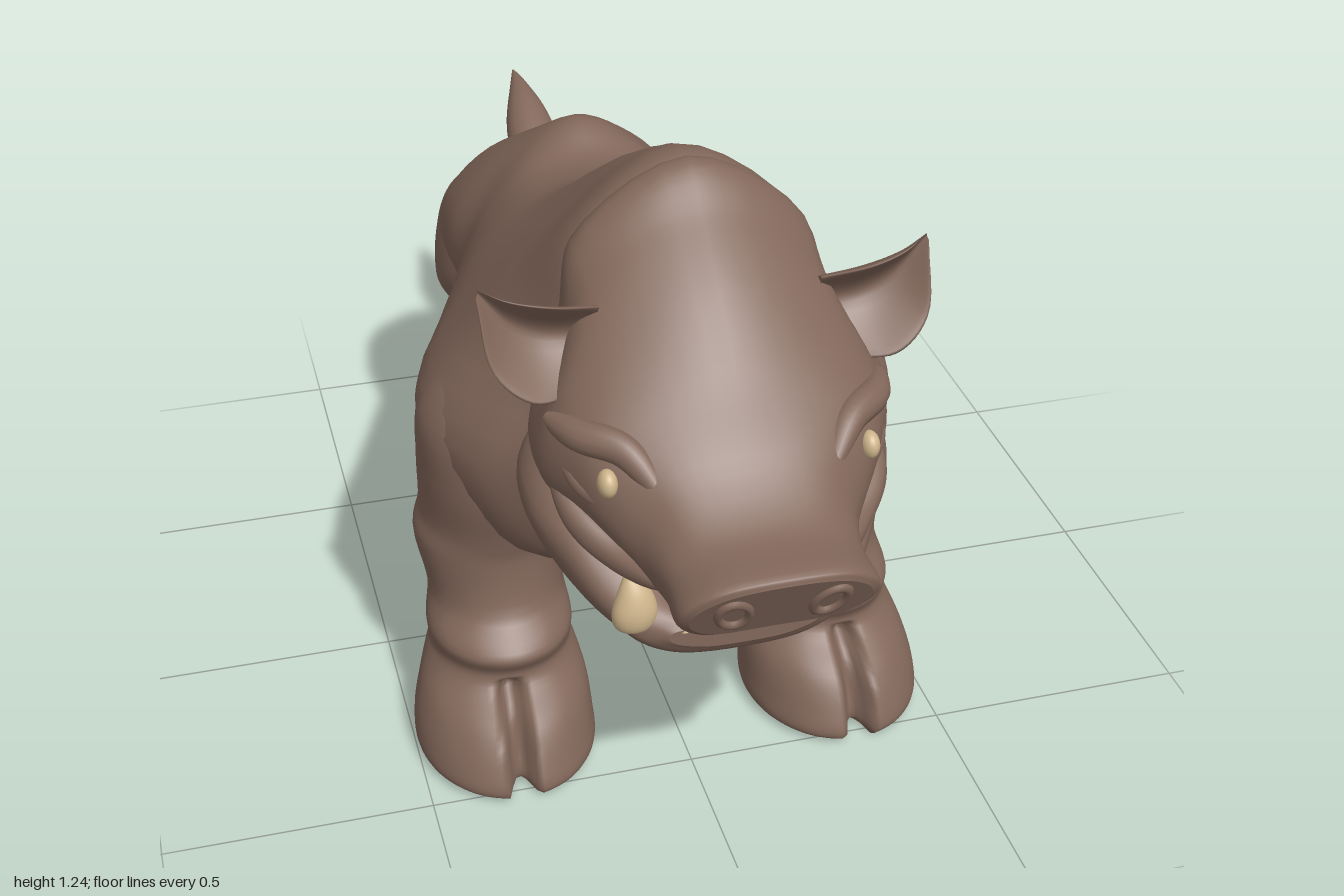
import * as THREE from 'three';

const V = (x, y, z) => new THREE.Vector3(x, y, z);
const hide = new THREE.MeshStandardMaterial({ color: 0x82675a });
hide.name = 'brown hide';
const ivory = new THREE.MeshStandardMaterial({ color: 0xcfb58c });
ivory.name = 'ivory';

// Smooth closed skin through a list of rings, with flat end caps.
function loft(rings, { nu = 48, steps = 6, warp = null } = {}) {
  const around = rings.map((r) => {
    const c = new THREE.CatmullRomCurve3(r, true);
    return Array.from({ length: nu }, (_, j) => c.getPoint(j / nu));
  });
  const nv = (rings.length - 1) * steps;
  const pts = [];
  const columns = around[0].map((_, j) => new THREE.CatmullRomCurve3(around.map((r) => r[j])));
  for (let i = 0; i <= nv; i++) for (const c of columns) pts.push(c.getPoint(i / nv));
  if (warp) pts.forEach(warp);
  const idx = [];
  for (let i = 0; i < nv; i++) {
    for (let j = 0; j < nu; j++) {
      const a = i * nu + j, b = i * nu + (j + 1) % nu;
      idx.push(a, b, a + nu, b, b + nu, a + nu);
    }
  }
  for (const row of [0, nv]) {
    const rim = pts.slice(row * nu, row * nu + nu).map((p) => p.clone());
    const start = pts.length;
    const mid = rim.reduce((s, p) => s.add(p), V(0, 0, 0)).divideScalar(nu);
    pts.push(...rim, mid);
    for (let j = 0; j < nu; j++) {
      const a = start + j, b = start + (j + 1) % nu;
      if (row) idx.push(a, b, start + nu); else idx.push(b, a, start + nu);
    }
  }
  // turn the faces outward
  let volume = 0;
  for (let k = 0; k < idx.length; k += 3) {
    volume += pts[idx[k]].dot(V(0, 0, 0).crossVectors(pts[idx[k + 1]], pts[idx[k + 2]]));
  }
  if (volume < 0) idx.reverse();
  const g = new THREE.BufferGeometry().setFromPoints(pts);
  g.setIndex(idx);
  g.computeVertexNormals();
  return g;
}

// Symmetric ring at depth z from a half profile running top to bottom.
function halfRing([z, half, slant = 0]) {
  const side = half.map(([x, y]) => V(x, y, z + slant * (y - 0.73)));
  const other = side.slice(1, -1).reverse().map((p) => V(-p.x, p.y, p.z));
  return [...side, ...other];
}

// Level oval ring.
function oval(s, y, cx, cz, rx, rz) {
  return Array.from({ length: 12 }, (_, k) => {
    const a = k / 12 * Math.PI * 2;
    return V(s * (cx + rx * Math.sin(a)), y, cz + rz * Math.cos(a));
  });
}

// Cleft in the front of a hoof.
const cleft = (s, cx, cz, top, width, depth) => (p) => {
  const d = Math.abs(p.x - s * cx) / width;
  if (p.y < top && p.z > cz && d < 1) p.z -= depth * (1 - d * d) * Math.min(1, (top - p.y) / 0.03);
};

// Skin fold: a tube that tapers to a point at both ends.
function foldGeometry(points, radius) {
  const path = new THREE.CatmullRomCurve3(points);
  const g = new THREE.TubeGeometry(path, 24, radius, 12);
  const pos = g.attributes.position;
  for (let i = 0; i < pos.count; i++) {
    const t = Math.floor(i / 13) / 24;
    const p = V(0, 0, 0).fromBufferAttribute(pos, i);
    p.lerp(path.getPointAt(t), 1 - Math.sqrt(Math.max(0, Math.sin(Math.PI * t))));
    pos.setXYZ(i, p.x, p.y, p.z);
  }
  return g;
}

export function createModel() {
  const model = new THREE.Group();
  model.name = 'boar';
  const add = (name, geometry, material = hide) => {
    const m = new THREE.Mesh(geometry, material);
    m.name = name;
    model.add(m);
    return m;
  };
  const ball = (name, at, scale, material = hide) => {
    const m = add(name, new THREE.SphereGeometry(1, 24, 16), material);
    m.position.set(...at);
    m.scale.set(...scale);
  };

  // Humped body, from neck to rump
  add('body', loft([
    [0.48, [[0, 1.16], [0.17, 1.06], [0.22, 0.9], [0.28, 0.7], [0.2, 0.57], [0, 0.53]]],
    [0.39, [[0, 1.242], [0.19, 1.12], [0.265, 0.9], [0.38, 0.68], [0.28, 0.47], [0, 0.44]]],
    [0.22, [[0, 1.175], [0.19, 1.05], [0.335, 0.85], [0.443, 0.67], [0.32, 0.45], [0, 0.37]]],
    [0.05, [[0, 1.075], [0.18, 0.98], [0.33, 0.81], [0.417, 0.65], [0.28, 0.42], [0, 0.33]]],
    [-0.1, [[0, 0.965], [0.17, 0.92], [0.3, 0.78], [0.36, 0.61], [0.25, 0.4], [0, 0.335]]],
    [-0.25, [[0, 0.925], [0.14, 0.895], [0.25, 0.77], [0.295, 0.62], [0.2, 0.42], [0, 0.37]]],
    [-0.36, [[0, 0.965], [0.11, 0.91], [0.22, 0.77], [0.25, 0.63], [0.18, 0.47], [0, 0.42]]],
    [-0.48, [[0, 0.905], [0.13, 0.865], [0.24, 0.74], [0.255, 0.62], [0.17, 0.48], [0, 0.455]]],
    [-0.62, [[0, 0.81], [0.13, 0.795], [0.235, 0.69], [0.24, 0.58], [0.15, 0.45], [0, 0.465]]],
    [-0.71, [[0, 0.73], [0.1, 0.735], [0.19, 0.66], [0.195, 0.57], [0.13, 0.46], [0, 0.5]]],
    [-0.738, [[0, 0.65], [0.1, 0.67], [0.145, 0.62], [0.145, 0.56], [0.1, 0.5], [0, 0.53]]],
  ].map(halfRing)));

  // Skull and snout, ending in a slanted nose disc with a rounded rim
  add('head', loft([
    [0.33, [[0, 1.19], [0.16, 1.08], [0.2, 0.97], [0.25, 0.8], [0.18, 0.7], [0, 0.7]]],
    [0.41, [[0, 1.243], [0.2, 1.12], [0.225, 0.99], [0.27, 0.8], [0.2, 0.7], [0, 0.7]]],
    [0.5, [[0, 1.178], [0.19, 1.09], [0.25, 0.95], [0.3, 0.8], [0.2, 0.68], [0, 0.68]]],
    [0.6, [[0, 1.1], [0.19, 1.02], [0.28, 0.91], [0.3, 0.78], [0.2, 0.69], [0, 0.69]]],
    [0.7, [[0, 0.998], [0.17, 0.945], [0.25, 0.875], [0.25, 0.77], [0.18, 0.69], [0, 0.69]]],
    [0.8, [[0, 0.875], [0.13, 0.85], [0.18, 0.79], [0.185, 0.72], [0.15, 0.67], [0, 0.66]]],
    [0.88, [[0, 0.815], [0.11, 0.8], [0.16, 0.76], [0.165, 0.71], [0.13, 0.66], [0, 0.655]], 0.2],
    [0.96, [[0, 0.802], [0.11, 0.79], [0.16, 0.75], [0.165, 0.71], [0.12, 0.665], [0, 0.66]], 0.5],
    [0.971, [[0, 0.79], [0.1, 0.778], [0.145, 0.745], [0.15, 0.712], [0.11, 0.675], [0, 0.67]], 0.5],
  ].map(halfRing)));

  // Lower jaw and cheeks, rounded at the chin
  add('lowerJaw', loft([
    [0.43, [[0, 0.8], [0.2, 0.85], [0.27, 0.78], [0.27, 0.68], [0.18, 0.6], [0, 0.58]]],
    [0.5, [[0, 0.68], [0.24, 0.86], [0.32, 0.76], [0.3, 0.65], [0.18, 0.55], [0, 0.53]]],
    [0.58, [[0, 0.64], [0.25, 0.81], [0.32, 0.72], [0.28, 0.6], [0.17, 0.515], [0, 0.5]]],
    [0.66, [[0, 0.6], [0.2, 0.7], [0.27, 0.675], [0.255, 0.58], [0.16, 0.505], [0, 0.485]]],
    [0.73, [[0, 0.57], [0.17, 0.625], [0.22, 0.605], [0.215, 0.56], [0.14, 0.5], [0, 0.485]]],
    [0.775, [[0, 0.56], [0.14, 0.595], [0.18, 0.58], [0.18, 0.55], [0.12, 0.51], [0, 0.497]]],
    [0.797, [[0, 0.555], [0.1, 0.57], [0.13, 0.565], [0.13, 0.55], [0.08, 0.53], [0, 0.525]]],
  ].map(halfRing)));
  ball('tongue', [0, 0.595, 0.66], [0.1, 0.065, 0.1]);

  // Leaf-shaped tail
  add('tail', loft([
    [-0.68, 0.71, 0.02, 0.02], [-0.74, 0.7, 0.045, 0.035], [-0.8, 0.71, 0.055, 0.05],
    [-0.87, 0.735, 0.045, 0.05], [-0.94, 0.77, 0.022, 0.025], [-1, 0.79, 0.003, 0.003],
  ].map(([z, y, rx, ry]) => oval(1, 0, 0, 0, rx, ry).map((p) => V(p.x, y + p.z, z))), { nu: 24 }));

  for (const s of [1, -1]) {
    const side = s > 0 ? 'left' : 'right';

    // Front leg: rounded hoof, ankle folds, shoulder
    add(side + 'FrontLeg', loft([
      [0.008, 0.327, 0.335, 0.155, 0.185], [0.025, 0.327, 0.335, 0.17, 0.203],
      [0.07, 0.327, 0.322, 0.17, 0.201], [0.13, 0.322, 0.301, 0.16, 0.183],
      [0.185, 0.318, 0.265, 0.143, 0.15], [0.21, 0.318, 0.26, 0.135, 0.146],
      [0.25, 0.318, 0.26, 0.138, 0.161], [0.31, 0.315, 0.222, 0.129, 0.143],
      [0.42, 0.315, 0.195, 0.147, 0.155], [0.47, 0.31, 0.197, 0.14, 0.163],
      [0.58, 0.308, 0.21, 0.142, 0.178], [0.7, 0.29, 0.22, 0.152, 0.165],
      [0.8, 0.235, 0.22, 0.13, 0.13], [0.87, 0.18, 0.22, 0.08, 0.08],
    ].map((r) => oval(s, ...r)), { nu: 96, steps: 5, warp: cleft(s, 0.33, 0.36, 0.2, 0.027, 0.06) }));

    // Back leg: hoof, shank, hock, thigh
    add(side + 'BackLeg', loft([
      [0.055, 0.175, -0.755, 0.095, 0.105], [0.067, 0.175, -0.757, 0.103, 0.115],
      [0.1, 0.175, -0.768, 0.1, 0.103], [0.145, 0.17, -0.79, 0.08, 0.073],
      [0.2, 0.155, -0.81, 0.052, 0.043], [0.29, 0.15, -0.81, 0.05, 0.05],
      [0.36, 0.15, -0.785, 0.056, 0.071], [0.395, 0.15, -0.735, 0.07, 0.1],
      [0.43, 0.152, -0.67, 0.085, 0.11], [0.5, 0.15, -0.617, 0.112, 0.118],
      [0.6, 0.14, -0.6, 0.12, 0.14], [0.7, 0.13, -0.58, 0.105, 0.13],
      [0.77, 0.11, -0.56, 0.05, 0.07],
    ].map((r) => oval(s, ...r)), { nu: 72, steps: 5, warp: cleft(s, 0.175, -0.74, 0.15, 0.02, 0.035) }));

    // Cupped ear: upper edge, hollow, lower edge, domed back
    add(side + 'Ear', loft([
      [[0.19, 1.07, 0.56], [0.2, 1.0, 0.52], [0.23, 0.92, 0.58], [0.2, 0.99, 0.46]],
      [[0.27, 1.09, 0.58], [0.28, 1.01, 0.52], [0.315, 0.933, 0.61], [0.3, 1.01, 0.468]],
      [[0.34, 1.1, 0.56], [0.335, 1.04, 0.525], [0.373, 0.985, 0.59], [0.358, 1.04, 0.482]],
      [[0.384, 1.112, 0.532], [0.384, 1.105, 0.53], [0.388, 1.1, 0.535], [0.385, 1.105, 0.526]],
    ].map((r) => r.map(([x, y, z]) => V(s * x, y, z))), { nu: 32 }));

    // Eye with brow, lower lid and cheek folds
    ball(side + 'Eye', [s * 0.223, 0.846, 0.737], [0.017, 0.025, 0.023], ivory);
    const fold = (name, pts, r) =>
      add(side + name, foldGeometry(pts.map(([x, y, z]) => V(s * x, y, z)), r));
    fold('Brow', [[0.14, 0.83, 0.78], [0.19, 0.893, 0.722], [0.25, 0.9, 0.67], [0.29, 0.89, 0.58]], 0.03);
    fold('LowerLid', [[0.17, 0.8, 0.765], [0.215, 0.8, 0.725], [0.25, 0.815, 0.685], [0.28, 0.86, 0.62]], 0.02);
    fold('Cheek', [[0.15, 0.69, 0.83], [0.2, 0.705, 0.745], [0.25, 0.74, 0.675], [0.28, 0.79, 0.58]], 0.033);

    // Nostril rim on the nose disc
    const nostril = add(side + 'Nostril', new THREE.TorusGeometry(0.034, 0.011, 10, 24));
    nostril.position.set(s * 0.08, 0.73, 0.968);
    nostril.rotation.set(0.46, 0, s * -0.3);
    nostril.scale.set(0.75, 1.1, 1);

    // Tusk and small teeth
    add(side + 'Tusk', loft([
      [0.56, 0.186, 0.757, 0.016, 0.014], [0.572, 0.185, 0.76, 0.033, 0.026],
      [0.6, 0.184, 0.763, 0.039, 0.029], [0.64, 0.184, 0.76, 0.028, 0.022],
      [0.683, 0.192, 0.752, 0.003, 0.003],
    ].map((r) => oval(s, ...r)), { nu: 24 }), ivory);
    const tooth = (name, x, y, z, flip) => {
      const m = add(side + name, new THREE.ConeGeometry(0.017, 0.045, 12), ivory);
      m.position.set(s * x, y, z);
      if (flip) m.rotation.x = Math.PI;
    };
    tooth('LowerTooth', 0.105, 0.587, 0.782, false);
    tooth('UpperTooth', 0.125, 0.655, 0.8, true);
  }
  return model;
}
